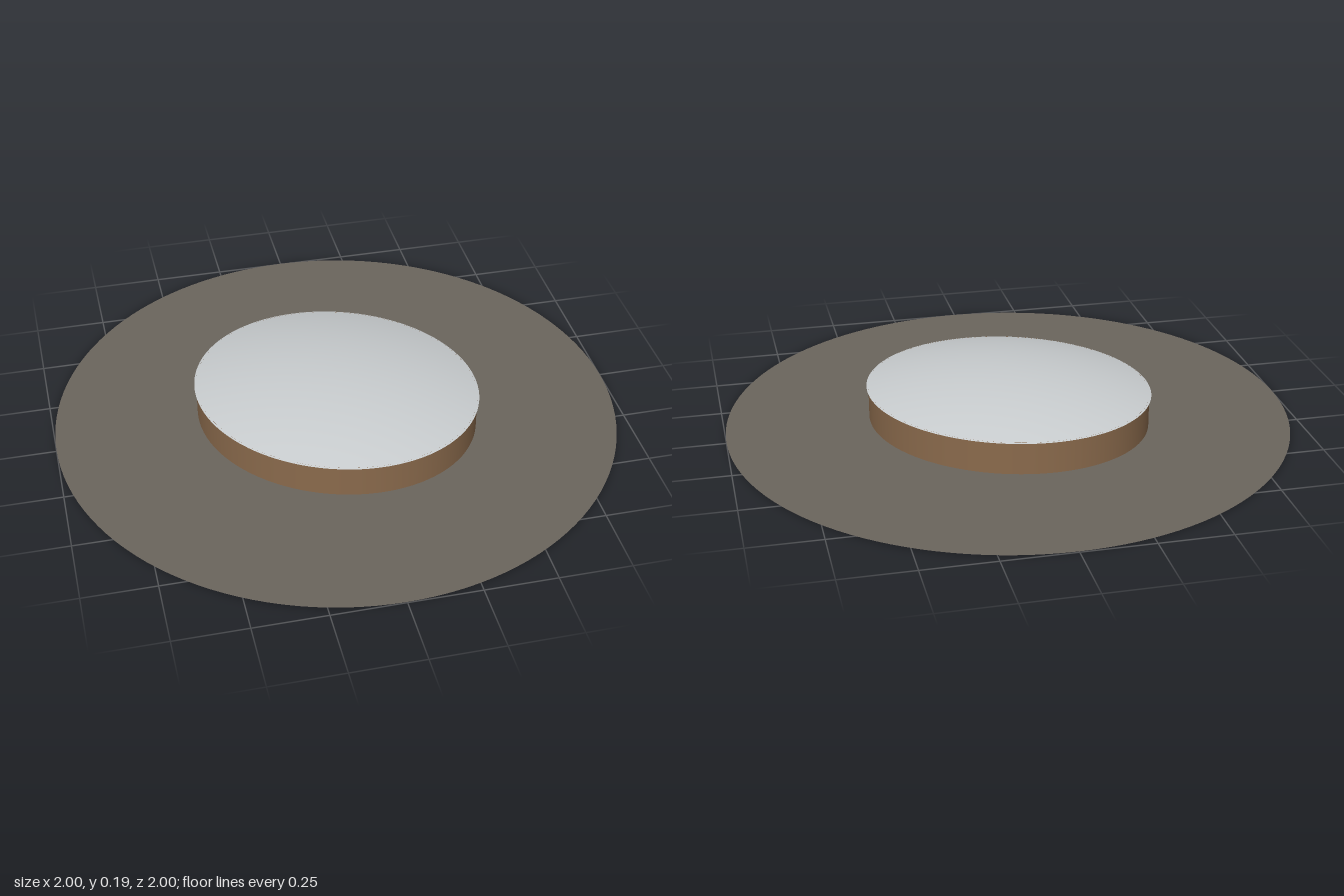
import * as THREE from 'three';

// Elliptical turn, in model units
const ANGLE = -0.63;
const SEG = 96;

export function createModel() {
  const material = (name, color, side = THREE.DoubleSide) => {
    const m = new THREE.MeshStandardMaterial({ color, side });
    m.name = name;
    return m;
  };
  const stone = material('stone grey', 0x6b655d);
  const wood = material('wall brown', 0x8a6a4c);
  const pale = material('roof pale grey', 0xc8ccce);
  const grass = material('grass green', 0x566b3c);

  const model = new THREE.Group();
  model.name = 'roundPavilion';
  const add = (name, geometry, mat, parent) => {
    const mesh = new THREE.Mesh(geometry, mat);
    mesh.name = name;
    parent.add(mesh);
    return mesh;
  };

  // Flat round plaza
  add('plaza', new THREE.CircleGeometry(1, 128).rotateX(-Math.PI / 2).translate(0, 0.003, 0), stone, model);

  // Everything oval shares one slanted axis
  const oval = new THREE.Group();
  oval.name = 'ovalBuilding';
  oval.rotation.y = ANGLE;
  model.add(oval);

  // Inner lawn on the ground
  add('lawn', new THREE.CircleGeometry(1, SEG).rotateX(-Math.PI / 2).scale(0.36, 1, 0.308), grass, oval);

  // Upright oval wall
  add('wall', new THREE.CylinderGeometry(1, 1, 0.12, SEG, 1, true).scale(0.507, 1, 0.45).translate(0, 0.06, 0), wood, oval);

  // Shallow domed roof with a slight overhang
  const profile = [];
  for (let i = 0; i <= 16; i++) {
    const r = 1 - i / 16;
    profile.push(new THREE.Vector2(r, 0.118 + 0.067 * (1 - r * r)));
  }
  add('roof', new THREE.LatheGeometry(profile, SEG).scale(0.514, 1, 0.456), pale, oval);

  return model;
}
